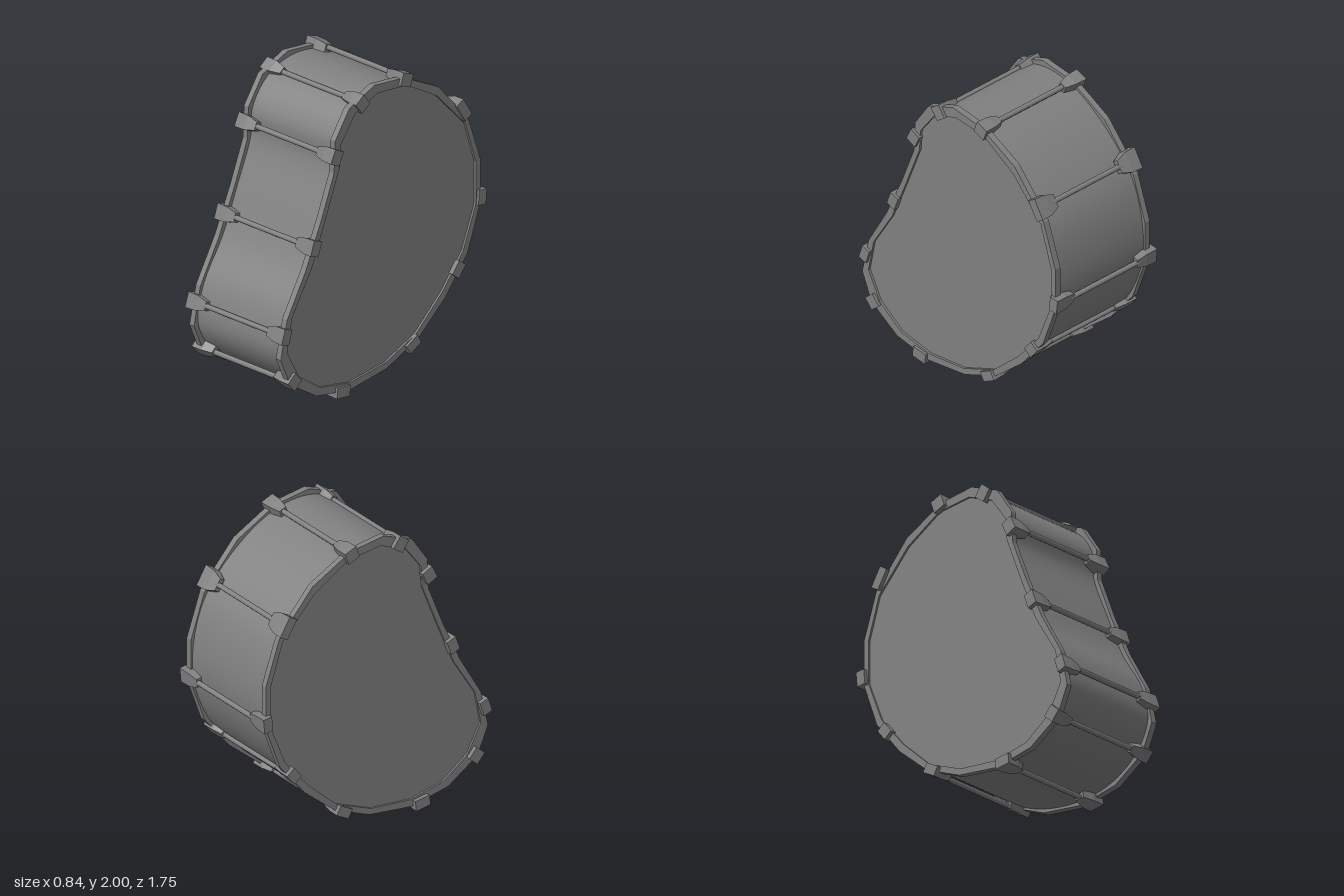
import * as THREE from 'three';
import { toCreasedNormals } from 'three/addons/utils/BufferGeometryUtils.js';

const material = new THREE.MeshStandardMaterial({ color: 0x808080 });

// Kidney outlines as [z, y] points, running counter-clockwise seen from +x
const outer = [
  [0.065, 1.98], [-0.19, 1.955], [-0.48, 1.81], [-0.735, 1.53], [-0.838, 1.23],
  [-0.838, 0.94], [-0.73, 0.64], [-0.54, 0.40], [-0.31, 0.20], [-0.04, 0.08],
  [0.28, 0.03], [0.56, 0.075], [0.785, 0.215], [0.865, 0.40], [0.81, 0.65],
  [0.65, 0.93], [0.52, 1.22], [0.41, 1.50], [0.40, 1.71], [0.28, 1.89],
].reverse();
const inner = [
  [0.04, 1.92], [-0.21, 1.90], [-0.47, 1.75], [-0.71, 1.50], [-0.80, 1.22],
  [-0.80, 0.94], [-0.69, 0.66], [-0.51, 0.44], [-0.29, 0.235], [-0.03, 0.12],
  [0.27, 0.08], [0.52, 0.12], [0.71, 0.25], [0.81, 0.435], [0.765, 0.66],
  [0.60, 0.93], [0.475, 1.235], [0.36, 1.53], [0.35, 1.675], [0.23, 1.84],
].reverse();
// Lugs: z, y, outward direction (z, y), tangential width, radial thickness
const lugs = [
  [0.18, 1.895, 0.60, 0.80, 0.085, 0.09],
  [-0.195, 1.943, -0.35, 0.94, 0.09, 0.085],
  [-0.685, 1.60, -0.85, 0.53, 0.14, 0.065],
  [-0.84, 0.98, -1.0, -0.10, 0.10, 0.065],
  [-0.64, 0.56, -0.79, -0.62, 0.095, 0.07],
  [-0.255, 0.18, -0.50, -0.86, 0.105, 0.065],
  [0.345, 0.043, 0.10, -1.0, 0.11, 0.07],
  [0.76, 0.232, 0.74, -0.67, 0.085, 0.085],
  [0.83, 0.547, 0.95, 0.31, 0.10, 0.065],
  [0.58, 1.057, 0.94, 0.33, 0.10, 0.07],
  [0.40, 1.605, 0.90, 0.43, 0.095, 0.08],
];

const toPoints = (list) => list.map(([z, y]) => new THREE.Vector2(-z, y));

// Extrude an outline along x between x0 and x1
function extrudeX(shape, x0, x1) {
  const g = new THREE.ExtrudeGeometry(shape, { depth: x1 - x0, bevelEnabled: false });
  return g.translate(0, 0, x0).rotateY(Math.PI / 2);
}

// Block that narrows from the rim toward the tension rod
function lugGeometry(width, thick) {
  const g = new THREE.BoxGeometry(0.15, thick, width, 2, 1, 1).toNonIndexed();
  const p = g.attributes.position;
  const rodY = 0.01;
  for (let i = 0; i < p.count; i++) {
    const x = p.getX(i), y = p.getY(i), z = p.getZ(i);
    const station = x > 0.01 ? 0 : x > -0.01 ? 1 : 2;
    const s = [1, 0.95, 0.58][station];
    p.setXYZ(i, [0.419, 0.338, 0.266][station], rodY + (y - rodY) * s, z * s);
  }
  g.computeVertexNormals();
  return g;
}

export function createModel() {
  const model = new THREE.Group();
  model.name = 'kidneyDrum';
  const add = (parent, geometry, name) => {
    const mesh = new THREE.Mesh(geometry, material);
    mesh.name = name;
    parent.add(mesh);
  };

  // Smooth shell with closed heads, running between the hoop outlines
  const curve = new THREE.CatmullRomCurve3(inner.map(([z, y], i) =>
    new THREE.Vector3(-z, y, 0).lerp(new THREE.Vector3(-outer[i][0], outer[i][1], 0), 0.38)), true);
  const smooth = curve.getPoints(100).slice(0, -1).map((v) => new THREE.Vector2(v.x, v.y));
  add(model, toCreasedNormals(extrudeX(new THREE.Shape(smooth), -0.378, 0.385), 0.6), 'shell');

  // Faceted hoops around both heads
  const hoop = new THREE.Shape(toPoints(outer));
  hoop.holes.push(new THREE.Path(toPoints(inner).reverse()));
  add(model, extrudeX(hoop, 0.358, 0.4), 'leftHoop');
  add(model, extrudeX(hoop, -0.391, -0.352), 'rightHoop');

  // Tension rods with a lug at each end
  for (const [z, y, nz, ny, width, thick] of lugs) {
    const tension = new THREE.Group();
    tension.name = 'tensionRod';
    tension.position.set(0, y, z);
    tension.rotation.x = Math.atan2(nz, ny);
    const rod = new THREE.CylinderGeometry(0.017, 0.017, 0.6, 10);
    add(tension, rod.rotateZ(Math.PI / 2).translate(0, 0.01, 0), 'rod');
    add(tension, lugGeometry(width, thick), 'leftLug');
    add(tension, lugGeometry(width, thick).rotateY(Math.PI), 'rightLug');
    model.add(tension);
  }
  return model;
}
